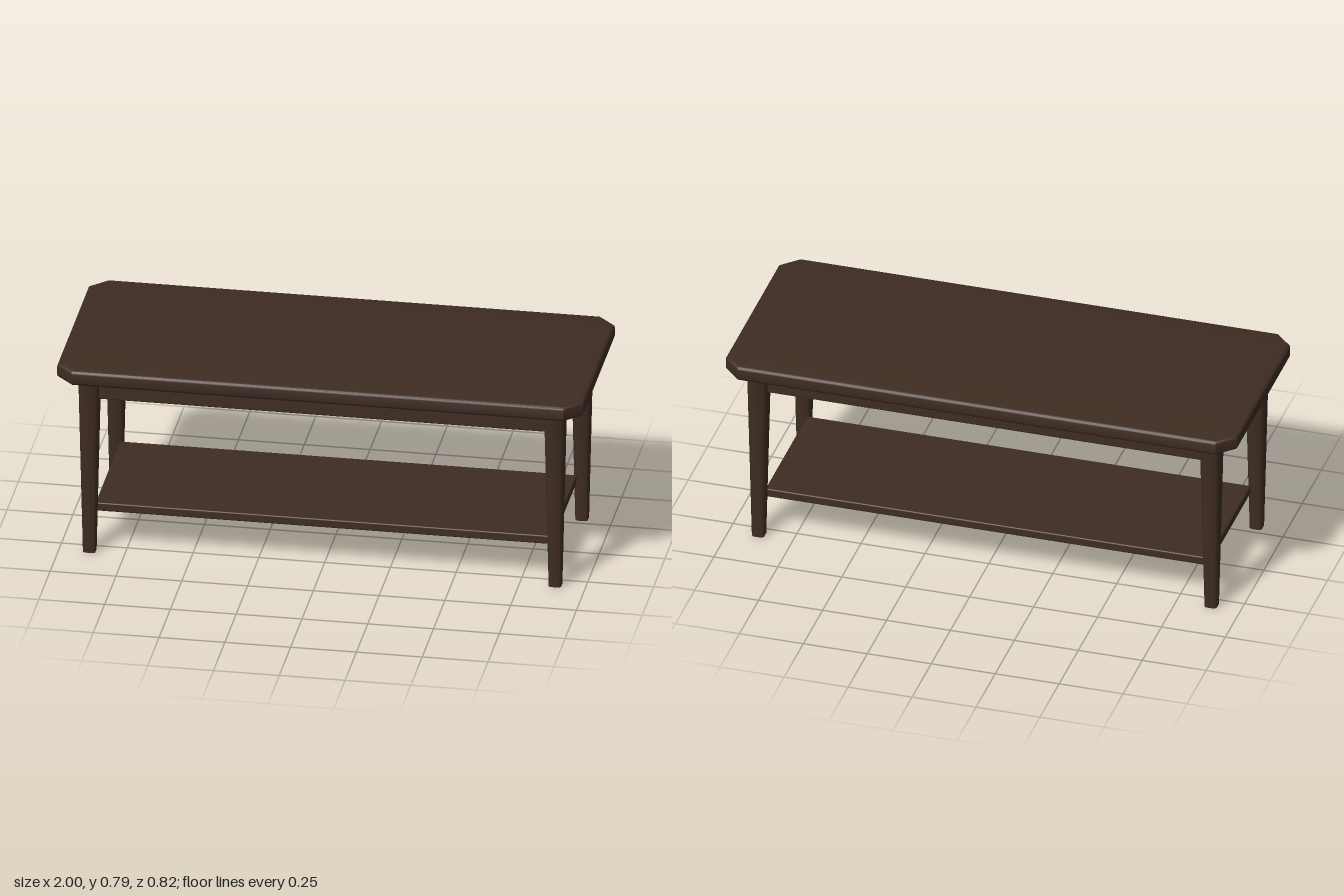
import * as THREE from 'three';
import { toCreasedNormals } from 'three/addons/utils/BufferGeometryUtils.js';
import { RoundedBoxGeometry } from 'three/addons/geometries/RoundedBoxGeometry.js';

// Rectangle with cut corners
function chamferedRect(w, d, c) {
  const x = w / 2, y = d / 2;
  return new THREE.Shape([
    [x - c, -y], [x, -y + c], [x, y - c], [x - c, y],
    [-x + c, y], [-x, y - c], [-x, -y + c], [-x + c, -y],
  ].map(([a, b]) => new THREE.Vector2(a, b)));
}

// Upright slab with softened edges; outer size w x h x d, base at y = 0
function slab(w, h, d, cut, bevel, bevelSegments) {
  const geo = new THREE.ExtrudeGeometry(chamferedRect(w - 2 * bevel, d - 2 * bevel, cut), {
    depth: h - 2 * bevel, bevelEnabled: bevel > 0,
    bevelThickness: bevel, bevelSize: bevel, bevelSegments,
  });
  geo.translate(0, 0, bevel);
  geo.rotateX(-Math.PI / 2);
  return geo;
}

export function createModel() {
  const group = new THREE.Group();
  group.name = 'coffeeTable';
  const wood = new THREE.MeshStandardMaterial({ color: 0x3e2c22 });
  wood.name = 'darkWood';

  const add = (name, geo, x, y, z) => {
    const mesh = new THREE.Mesh(geo, wood);
    mesh.name = name;
    mesh.position.set(x, y, z);
    group.add(mesh);
  };

  const legX = 0.885, legZ = 0.294, topY = 0.732;

  // Table top with clipped corners and rounded rim
  add('tableTop', toCreasedNormals(slab(2, 0.058, 0.82, 0.058, 0.012, 3), 0.6), 0, topY, 0);

  // Tapered legs, narrowing linearly toward the floor
  const legGeo = slab(0.078, topY, 0.078, 0.012, 0, 0);
  const pos = legGeo.attributes.position;
  for (let i = 0; i < pos.count; i++) {
    const s = THREE.MathUtils.lerp(0.6, 1, pos.getY(i) / topY);
    pos.setX(i, pos.getX(i) * s);
    pos.setZ(i, pos.getZ(i) * s);
  }
  const smoothLeg = toCreasedNormals(legGeo, 0.9);
  for (const [side, sx] of [['Left', 1], ['Right', -1]])
    for (const [end, sz] of [['front', 1], ['back', -1]])
      add(`${end}${side}Leg`, smoothLeg, sx * legX, 0, sz * legZ);

  // Aprons between the legs
  const apronH = 0.094, apronY = topY - apronH / 2;
  const longApron = new RoundedBoxGeometry(1.7, apronH, 0.036, 2, 0.005);
  const endApron = new RoundedBoxGeometry(0.036, apronH, 0.52, 2, 0.005);
  add('frontApron', longApron, 0, apronY, legZ);
  add('backApron', longApron, 0, apronY, -legZ);
  add('leftApron', endApron, legX, apronY, 0);
  add('rightApron', endApron, -legX, apronY, 0);

  // Lower shelf reaching the inner corners of the legs
  add('shelf', new RoundedBoxGeometry(1.735, 0.034, 0.544, 2, 0.005), 0, 0.172, 0);

  return group;
}
